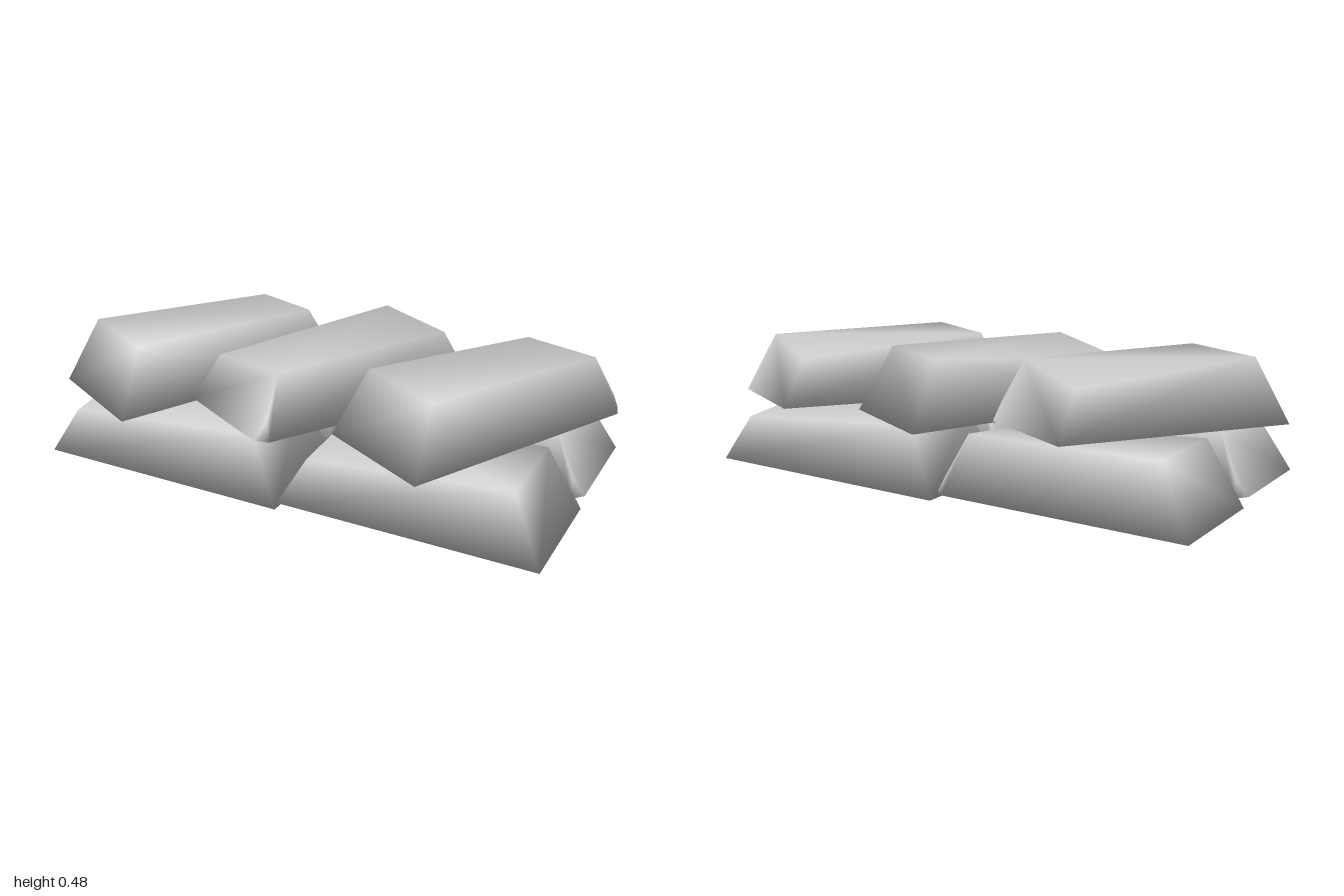
import * as THREE from 'three';
import { ConvexGeometry } from 'three/addons/geometries/ConvexGeometry.js';
import { mergeVertices } from 'three/addons/utils/BufferGeometryUtils.js';

const L = 0.475, W = 0.2375, H = 0.24; // half length, half width, height
const TOP_L = 0.36, TOP_W = 0.178;     // half size of the tapered top

// Tapered ingot with one worn end; su and sv choose the worn end and the chipped side.
function ingotGeometry(su, sv) {
  const onEdge = (t, v) => [
    THREE.MathUtils.lerp(L, TOP_L, t), H * t, v * THREE.MathUtils.lerp(W, TOP_W, t),
  ];
  const points = [
    // sound end
    [-L, 0, -W], [-L, 0, W], [-TOP_L, H, -TOP_W], [-TOP_L, H, TOP_W],
    // worn end: raised base, one sunken top corner
    [L, 0.028, -W], onEdge(0.81, -1), [TOP_L, H, TOP_W],
    // chipped lower corner
    [L - 0.04, 0.026, W], [L, 0.028, W - 0.04], onEdge(0.38, 1),
  ].map(([x, y, z]) => new THREE.Vector3(x * su, y, z * sv));

  // share the corners so that shading runs smoothly over all edges
  const hull = new ConvexGeometry(points);
  hull.deleteAttribute('normal');
  const geometry = mergeVertices(hull, 1e-4);
  geometry.computeVertexNormals();
  return geometry;
}

export function createModel() {
  const group = new THREE.Group();
  group.name = 'ingotStack';
  const material = new THREE.MeshStandardMaterial({ color: 0xcccccc });

  const addIngot = (name, x, y, z, turn, su, sv) => {
    const mesh = new THREE.Mesh(ingotGeometry(su, sv), material);
    mesh.name = name;
    mesh.position.set(x, y, z);
    mesh.rotation.y = turn;
    group.add(mesh);
  };

  // lower layer: two by two
  addIngot('lowerIngotFrontRight', -0.477, 0, 0.24, 0, -1, -1);
  addIngot('lowerIngotFrontLeft', 0.48, 0, 0.24, 0, -1, -1);
  addIngot('lowerIngotBackRight', -0.477, 0, -0.24, 0, 1, -1);
  addIngot('lowerIngotBackLeft', 0.48, 0, -0.24, 0, 1, 1);

  // upper layer: three laid diagonally, the middle one reversed
  [-0.557, 0.005, 0.572].forEach((x, i) => {
    addIngot(`upperIngot${i + 1}`, x, H, 0, Math.PI / 3, i === 1 ? -1 : 1, 1);
  });
  return group;
}
